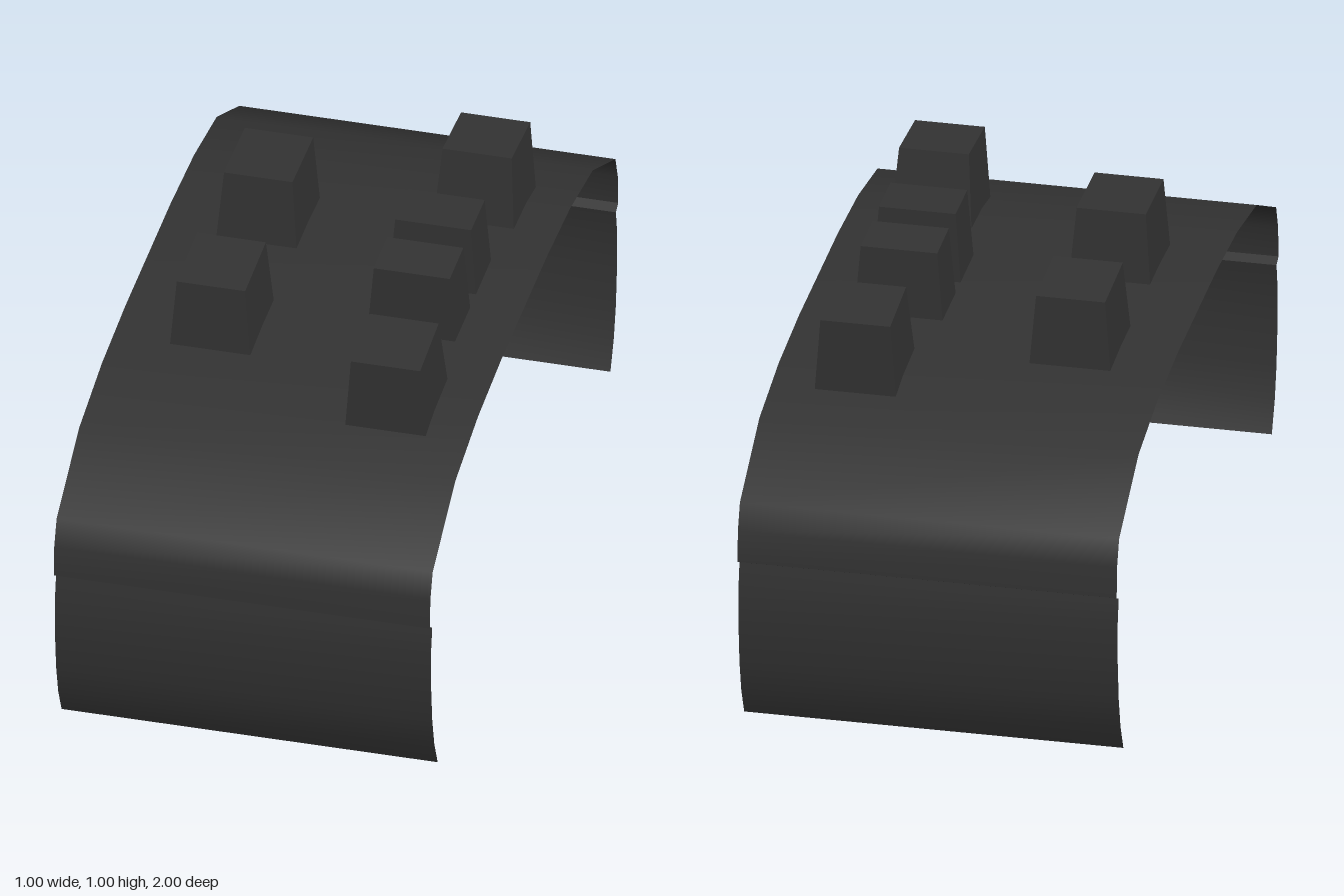
import * as THREE from 'three';

const charcoal = new THREE.MeshStandardMaterial({ color: 0x333333, side: THREE.DoubleSide });
charcoal.name = 'charcoal';

// Open sheet spanning the full width along a (z, y) profile, smooth along its curve
function sheet(name, profile) {
  const positions = [];
  const index = [];
  profile.forEach(([z, y], i) => {
    positions.push(-0.5, y, z, 0.5, y, z);
    if (i < profile.length - 1) {
      const a = i * 2;
      index.push(a, a + 2, a + 1, a + 1, a + 2, a + 3);
    }
  });
  const geometry = new THREE.BufferGeometry();
  geometry.setAttribute('position', new THREE.Float32BufferAttribute(positions, 3));
  geometry.setIndex(index);
  geometry.computeVertexNormals();
  const mesh = new THREE.Mesh(geometry, charcoal);
  mesh.name = name;
  return mesh;
}

// Tapered block standing on its base and leaning outward with the arch
function block(name, { x, y, z, base, top, height, tilt }) {
  const geometry = new THREE.BoxGeometry(base[0], height, base[1]).toNonIndexed();
  geometry.translate(0, height / 2, 0);
  const p = geometry.attributes.position;
  for (let i = 0; i < p.count; i++) {
    if (p.getY(i) > height / 2) {
      p.setX(i, p.getX(i) * top[0] / base[0]);
      p.setZ(i, p.getZ(i) * top[1] / base[1]);
    }
  }
  geometry.computeVertexNormals();
  const mesh = new THREE.Mesh(geometry, charcoal);
  mesh.name = name;
  mesh.position.set(x, y, z);
  mesh.rotation.x = tilt;
  return mesh;
}

const mirrored = (profile) => profile.map(([z, y]) => [-z, y]).reverse();

export function createModel() {
  const group = new THREE.Group();
  group.name = 'studdedArch';

  // Upper shell
  const shoulder = [[0.24, 0.81], [0.49, 0.796], [0.73, 0.755], [0.97, 0.63], [0.995, 0.56], [1, 0.473]];
  group.add(sheet('upperShell', [...mirrored(shoulder), ...shoulder]));

  // Stepped lip and lower panel at each end
  const lip = [[1, 0.473], [0.975, 0.46]];
  const panel = [[0.975, 0.46], [0.988, 0.39], [0.987, 0.28], [0.975, 0.17], [0.953, 0.08], [0.917, 0]];
  group.add(sheet('frontLip', lip), sheet('backLip', mirrored(lip)));
  group.add(sheet('frontPanel', panel), sheet('backPanel', mirrored(panel)));

  // Tapered blocks, mirrored front to back
  const blocks = {
    RightBlock: { x: -0.242, y: 0.796, z: 0.245, base: [0.215, 0.25], top: [0.182, 0.22], height: 0.202, tilt: 0.03 },
    LeftBlock: { x: 0.278, y: 0.78, z: 0.4675, base: [0.215, 0.236], top: [0.184, 0.198], height: 0.21, tilt: 0.09 },
    SmallBlock: { x: 0.248, y: 0.795, z: 0.111, base: [0.235, 0.162], top: [0.202, 0.144], height: 0.205, tilt: 0.012 },
  };
  for (const [name, spec] of Object.entries(blocks)) {
    group.add(block('front' + name, spec));
    group.add(block('back' + name, { ...spec, z: -spec.z, tilt: -spec.tilt }));
  }
  return group;
}
